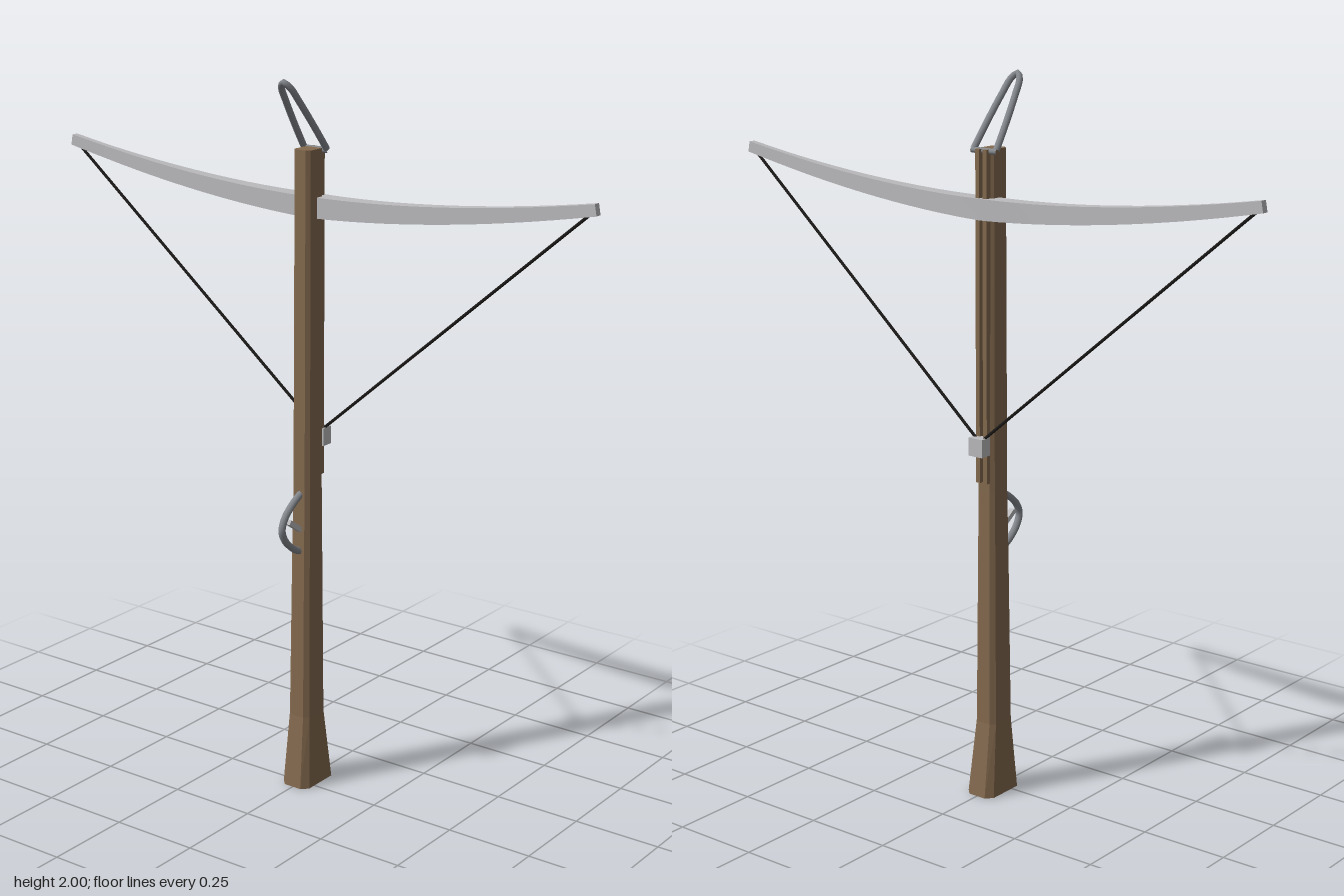
import * as THREE from 'three';

const mat = (name, color, extra = {}) => {
  const m = new THREE.MeshStandardMaterial({ color, ...extra });
  m.name = name;
  return m;
};

// Skin a list of equal-length rings, ordered so that edge x advance points outward, and cap both ends
function loft(rings) {
  const pos = [], n = rings[0].length;
  const tri = (a, b, c) => pos.push(...a, ...b, ...c);
  for (let i = 0; i < rings.length - 1; i++) {
    const r = rings[i], s = rings[i + 1];
    for (let j = 0; j < n; j++) {
      const k = (j + 1) % n;
      tri(r[j], r[k], s[k]);
      tri(r[j], s[k], s[j]);
    }
  }
  const first = rings[0], last = rings[rings.length - 1];
  for (let j = 1; j < n - 1; j++) {
    tri(first[0], first[j + 1], first[j]);
    tri(last[0], last[j], last[j + 1]);
  }
  const g = new THREE.BufferGeometry();
  g.setAttribute('position', new THREE.Float32BufferAttribute(pos, 3));
  g.computeVertexNormals();
  return g;
}

export function createModel() {
  const model = new THREE.Group();
  model.name = 'crossbow';
  const wood = mat('wood', 0x846a4f, { flatShading: true });
  const steel = mat('steel', 0xbcbcbf, { flatShading: true });
  const iron = mat('iron', 0x85898e);
  const cord = mat('cord', 0x1c1a18);

  const add = (name, geometry, material, x = 0, y = 0, z = 0) => {
    const m = new THREE.Mesh(geometry, material);
    m.name = name;
    m.position.set(x, y, z);
    model.add(m);
    return m;
  };
  const tube = (name, points, radius, material) => {
    const curve = new THREE.CatmullRomCurve3(points.map(p => new THREE.Vector3(...p)));
    return add(name, new THREE.TubeGeometry(curve, 40, radius, 8), material);
  };
  const rod = (name, a, b, radius, material) => {
    const curve = new THREE.LineCurve3(new THREE.Vector3(...a), new THREE.Vector3(...b));
    return add(name, new THREE.TubeGeometry(curve, 1, radius, 8), material);
  };

  // Stock: chamfered section flaring to the butt; rows are y, half width, front z, back z
  const stockRows = [
    [0, 0.045, 0.043, -0.1],
    [0.21, 0.034, 0.021, -0.069],
    [0.70, 0.03, 0.013, -0.065],
    [0.88, 0.028, 0.009, -0.064],
    [1.805, 0.026, 0.004, -0.063],
  ];
  add('stock', loft(stockRows.map(([y, w, f, b]) => {
    const cx = w * 0.4, cz = (f - b) * 0.13;
    return [
      [w - cx, y, f], [w, y, f - cz], [w, y, b + cz], [w - cx, y, b],
      [cx - w, y, b], [-w, y, b + cz], [-w, y, f - cz], [cx - w, y, f],
    ];
  })), wood);

  // Twin rails with the bolt groove between them
  for (const s of [1, -1]) {
    add(s > 0 ? 'leftRail' : 'rightRail', new THREE.BoxGeometry(0.013, 0.9, 0.02),
      wood, s * 0.012, 1.355, -0.067);
  }

  // Bow: rectangular section sweeping upward and tapering to squared tips
  const bowRings = [];
  for (let i = 0; i <= 28; i++) {
    const x = -0.847 + 1.694 * i / 28, a = Math.abs(x) / 0.847;
    const y = 1.649 + 0.091 * Math.pow(a, 1.8);
    const slope = Math.sign(x) * 0.193 * Math.pow(a, 0.8);
    const len = Math.hypot(1, slope), nx = -slope / len, ny = 1 / len;
    const h = 0.0285 - 0.0135 * a;
    const d = 0.026 - 0.016 * Math.min(a / 0.86, 1);
    const z = -0.057;
    bowRings.push([
      [x + nx * h, y + ny * h, z + d], [x - nx * h, y - ny * h, z + d],
      [x - nx * h, y - ny * h, z - d], [x + nx * h, y + ny * h, z - d],
    ]);
  }
  add('bow', loft(bowRings), steel);

  // String drawn from both tips back to the nut
  for (const s of [1, -1]) {
    rod(s > 0 ? 'leftString' : 'rightString',
      [s * 0.832, 1.73, -0.057], [0, 1.02, -0.083], 0.0042, cord);
  }
  add('nut', new THREE.BoxGeometry(0.046, 0.05, 0.036), steel, 0, 1.01, -0.086);

  // Foot stirrup leaning forward from the nose: near-straight legs meeting in a tight bend
  const stirrup = [
    [0.037, 0], [0.034, 0.2], [0.029, 0.45], [0.022, 0.72], [0.014, 0.93],
  ];
  const place = ([x, t]) => [x, 1.803 + 0.186 * t, -0.06 + 0.138 * t];
  tube('stirrup', [
    ...stirrup.map(place), place([0, 1]),
    ...stirrup.map(([x, t]) => place([-x, t])).reverse(),
  ], 0.009, iron);
  rod('stirrupPin', [-0.042, 1.8, -0.061], [0.042, 1.8, -0.061], 0.008, iron);

  // Trigger guard and trigger
  tube('triggerGuard', [
    [0, 0.866, 0], [0, 0.842, 0.042], [0, 0.812, 0.076], [0, 0.78, 0.089],
    [0, 0.748, 0.076], [0, 0.715, 0.04], [0, 0.695, 0],
  ], 0.01, iron);
  const trigger = add('trigger', new THREE.BoxGeometry(0.016, 0.014, 0.075), steel, 0, 0.776, 0.03);
  trigger.rotation.x = -0.6;

  return model;
}
